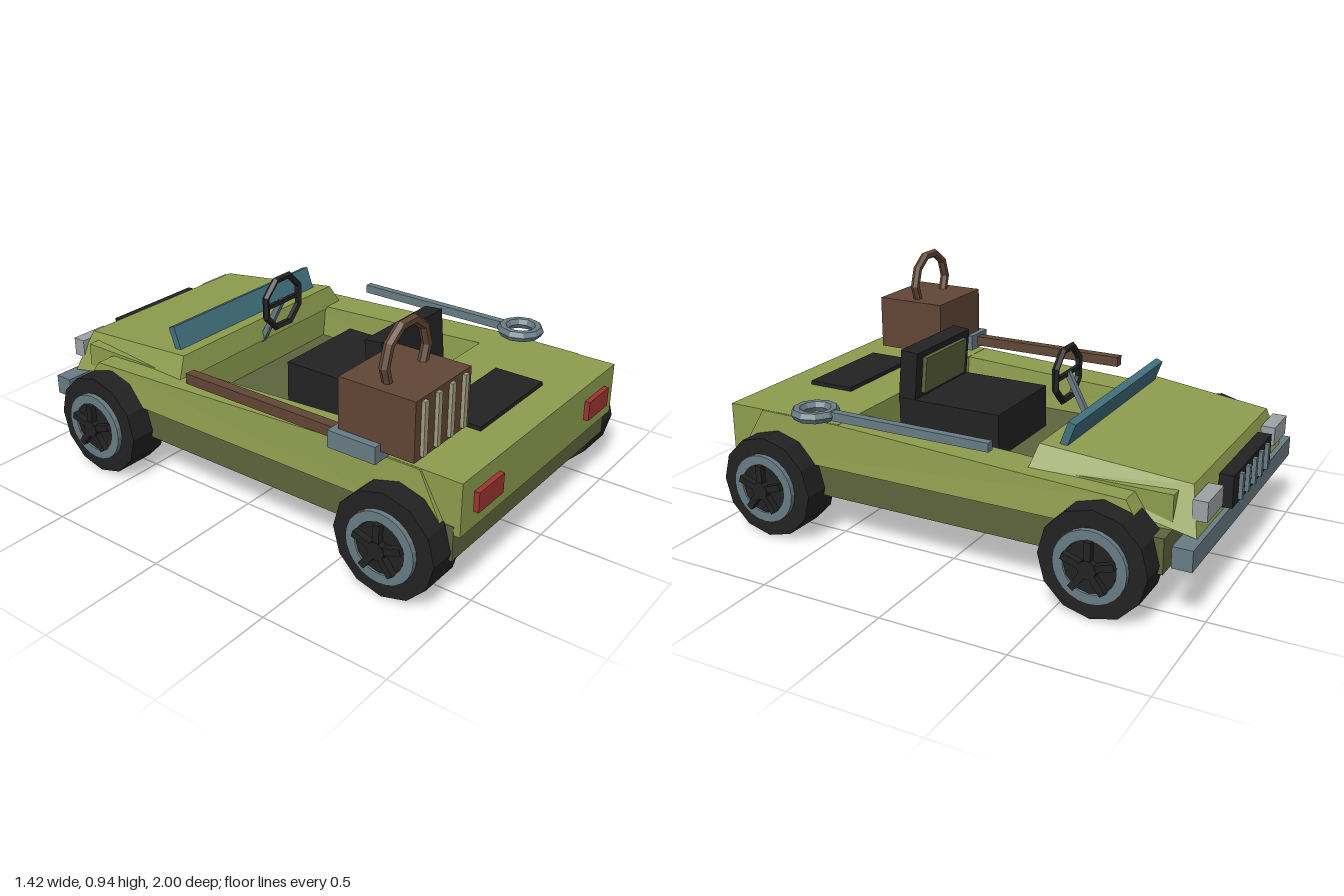
import * as THREE from 'three';

const mat = (name, color) => {
  const m = new THREE.MeshStandardMaterial({ color });
  m.name = name;
  return m;
};

export function createModel() {
  const olive = mat('olive paint', 0x8e9c4e);
  const darkOlive = mat('dark olive', 0x5d643c);
  const black = mat('black rubber', 0x222222);
  const steel = mat('steel', 0x687b84);
  const brown = mat('brown leather', 0x614635);
  const red = mat('red lamp', 0x9b342f);
  const glass = mat('blue glass', 0x42717f);
  const lamp = mat('pale lamp', 0x9da2a4);
  const tan = mat('tan strap', 0xa09c80);

  const model = new THREE.Group();
  model.name = 'openCar';

  // Adds a faceted mesh
  function add(name, geometry, material, parent = model) {
    const g = geometry.index ? geometry.toNonIndexed() : geometry;
    g.computeVertexNormals();
    const mesh = new THREE.Mesh(g, material);
    mesh.name = name;
    parent.add(mesh);
    return mesh;
  }
  // Box given by its limits on each axis
  function box(name, [x0, x1], [y0, y1], [z0, z1], material, parent) {
    const g = new THREE.BoxGeometry(x1 - x0, y1 - y0, z1 - z0);
    g.translate((x0 + x1) / 2, (y0 + y1) / 2, (z0 + z1) / 2);
    return add(name, g, material, parent);
  }
  function reshape(g, rule) {
    const p = g.attributes.position;
    const v = new THREE.Vector3();
    for (let i = 0; i < p.count; i++) {
      v.fromBufferAttribute(p, i);
      rule(v);
      p.setXYZ(i, v.x, v.y, v.z);
    }
    return g;
  }

  // Chassis and floor
  box('chassis', [-0.565, 0.565], [0.175, 0.31], [-0.86, 0.955], darkOlive);

  // Rear deck and the block beneath the hood
  box('rearDeck', [-0.563, 0.563], [0.277, 0.482], [0.46, 0.98], olive);
  box('noseBlock', [-0.49, 0.49], [0.3, 0.44], [-0.86, -0.33], olive);

  // Side walls with fenders, flared towards the bottom
  const wall = new THREE.Shape([
    [0.92, 0.305], [0.82, 0.481], [0.46, 0.481], [-0.33, 0.442], [-0.72, 0.425], [-0.8, 0.305],
  ].map(([z, y]) => new THREE.Vector2(z, y)));
  for (const s of [1, -1]) {
    const g = new THREE.ExtrudeGeometry(wall, { depth: 0.15, bevelEnabled: false });
    g.rotateY(-Math.PI / 2);
    g.translate(s * 0.495 + 0.075, 0, 0);
    reshape(g, (v) => {
      if (v.y < 0.35) v.x += Math.sign(v.x - s * 0.495) * 0.015;
    });
    add(s > 0 ? 'leftSideWall' : 'rightSideWall', g, olive);
  }

  // Tapered hood
  add('hood', reshape(new THREE.BoxGeometry(2, 2, 2), (v) => {
    const sx = v.x, top = v.y > 0, atCockpit = v.z > 0;
    if (top) v.set(sx * (atCockpit ? 0.465 : 0.425), atCockpit ? 0.522 : 0.464, atCockpit ? -0.342 : -0.906);
    else v.set(sx * (atCockpit ? 0.515 : 0.497), atCockpit ? 0.435 : 0.3, atCockpit ? -0.32 : -0.95);
  }), olive);

  // Bumper, grille and headlights
  box('bumper', [-0.585, 0.585], [0.22, 0.3], [-0.97, -0.895], steel);
  box('grille', [-0.23, 0.23], [0.31, 0.435], [-0.985, -0.93], black);
  for (let i = -2; i <= 2; i++) {
    const x = i * 0.078;
    box('grilleBar', [x - 0.011, x + 0.011], [0.322, 0.423], [-1, -0.98], steel);
  }
  for (const s of [1, -1]) {
    const x = s * 0.392;
    box('headlight', [x - 0.08, x + 0.08], [0.355, 0.43], [-0.975, -0.92], lamp);
    box('tailLight', [s * 0.403 - 0.082, s * 0.403 + 0.082], [0.34, 0.418], [0.97, 1], red);
  }
  box('rearVent', [-0.225, 0.225], [0.478, 0.498], [0.645, 0.845], black);

  // Windshield
  const shield = add('windshield', new THREE.BoxGeometry(0.84, 0.1, 0.03), glass);
  shield.position.set(0, 0.553, -0.43);
  shield.rotation.x = -0.35;

  // Seat
  box('seatCushion', [-0.205, 0.205], [0.3, 0.488], [-0.035, 0.42], black);
  const back = new THREE.Group();
  back.name = 'seatBack';
  back.position.set(0, 0.58, 0.377);
  back.rotation.x = -0.09;
  model.add(back);
  box('backrest', [-0.203, 0.203], [-0.11, 0.106], [-0.038, 0.038], black, back);
  box('backrestPanel', [-0.157, 0.157], [-0.07, 0.08], [-0.055, -0.036], darkOlive, back);

  // Steering wheel and column
  const wheel = add('steeringWheel', new THREE.TorusGeometry(0.11, 0.015, 5, 8).rotateZ(Math.PI / 8), black);
  wheel.position.set(0, 0.63, -0.228);
  box('steeringSpoke', [-0.1, 0.1], [0.622, 0.638], [-0.236, -0.22], black);
  const column = add('steeringColumn', new THREE.BoxGeometry(0.022, 0.25, 0.022), steel);
  column.position.set(0, 0.525, -0.288);
  column.rotation.x = Math.atan2(0.1, 0.19);

  // Wheels: tyre, rim ring, hub and five spokes
  const ring = new THREE.Shape().absarc(0, 0, 0.138, 0, Math.PI * 2);
  ring.holes.push(new THREE.Path().absarc(0, 0, 0.1, 0, Math.PI * 2));
  const disc = (r, x0, x1) => new THREE.CylinderGeometry(r, r, x1 - x0, 12)
    .rotateZ(-Math.PI / 2).translate((x0 + x1) / 2, 0, 0);
  for (const s of [1, -1]) {
    for (const z of [0.745, -0.643]) {
      const g = new THREE.Group();
      g.name = (z > 0 ? 'rear' : 'front') + (s > 0 ? 'LeftWheel' : 'RightWheel');
      g.position.set(0, 0.206, z);
      if (s < 0) g.rotation.y = Math.PI;
      model.add(g);
      add('tyre', disc(0.205, 0.5, 0.668), black, g);
      add('rim', new THREE.ExtrudeGeometry(ring, { depth: 0.022, bevelEnabled: false, curveSegments: 12 })
        .rotateY(Math.PI / 2).translate(0.666, 0, 0), steel, g);
      add('hubPlate', disc(0.1, 0.66, 0.682), black, g);
      add('hubCap', disc(0.035, 0.67, 0.71), black, g);
      for (let i = 0; i < 5; i++) {
        const spoke = new THREE.BoxGeometry(0.035, 0.1, 0.026).translate(0.69, 0.052, 0);
        add('spoke', spoke.rotateX(i * Math.PI * 0.4), black, g);
      }
    }
  }

  // Luggage case with straps and an arched handle
  box('luggageCase', [-0.61, -0.273], [0.522, 0.745], [0.515, 0.822], brown);
  for (let i = 0; i < 4; i++) {
    const x = -0.565 + i * 0.082;
    box('luggageStrap', [x - 0.011, x + 0.011], [0.535, 0.735], [0.82, 0.836], tan);
  }
  const handle = add('luggageHandle',
    new THREE.TorusGeometry(0.125, 0.019, 6, 7, Math.PI * 1.4).rotateZ(-Math.PI / 5), brown);
  handle.position.set(-0.441, 0.803, 0.668);

  // Long-handled tool on the right side
  box('toolHandle', [-0.595, -0.553], [0.495, 0.537], [-0.205, 0.52], brown);
  box('toolHead', [-0.64, -0.505], [0.484, 0.55], [0.492, 0.69], steel);

  // Tow bar with ring on the left side
  box('towBar', [0.549, 0.581], [0.5, 0.535], [-0.2, 0.495], steel);
  const towRing = add('towRing', new THREE.TorusGeometry(0.073, 0.023, 6, 10).rotateX(Math.PI / 2), steel);
  towRing.position.set(0.566, 0.518, 0.562);

  return model;
}
